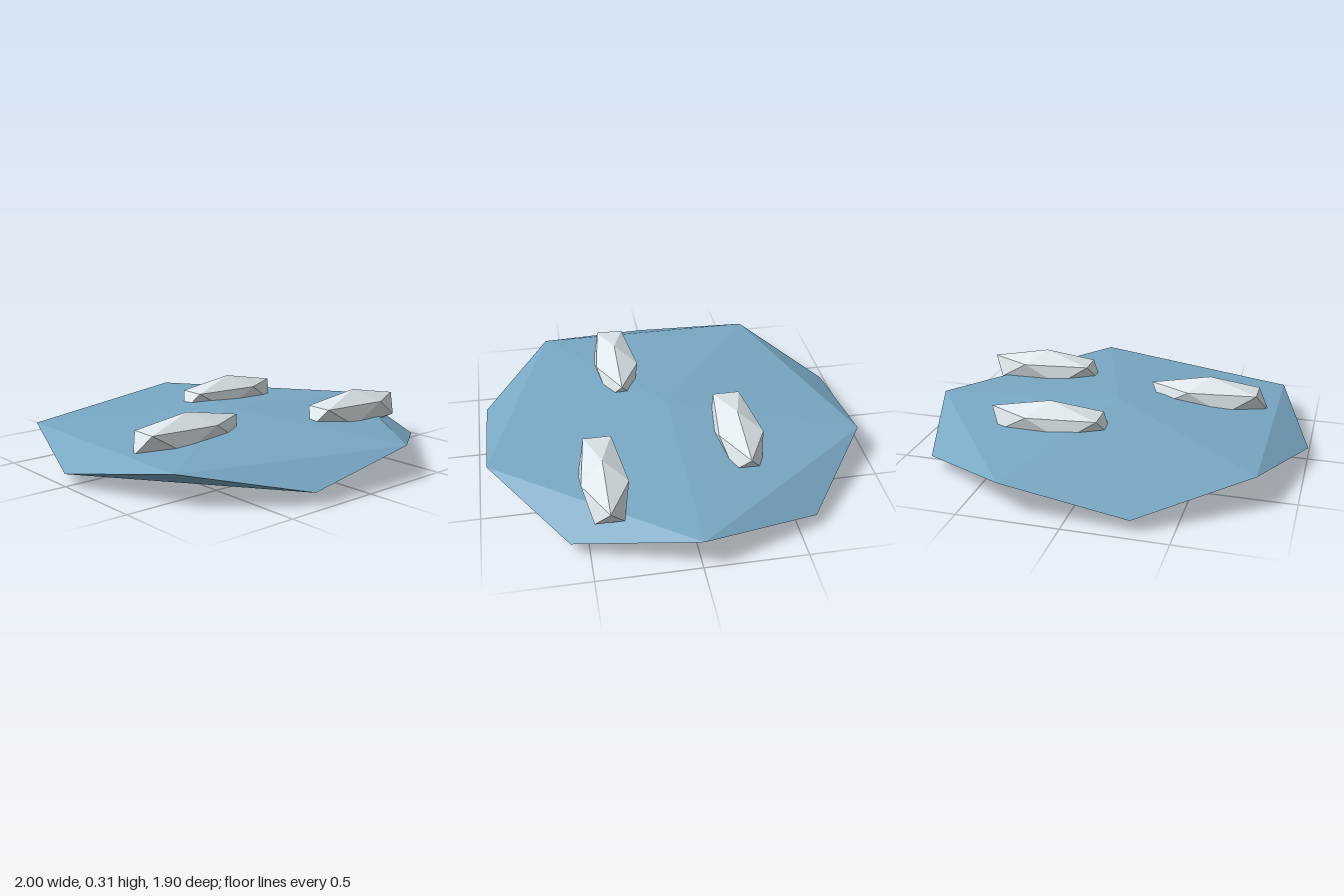
import * as THREE from 'three';

const PHI = (1 + Math.sqrt(5)) / 2;
const RING = 2 / Math.sqrt(5); // ring radius of a unit icosahedron standing on a corner

// Squashed icosahedron with a corner straight up and an upper ring corner on +x
function facetedBlob(ringX, halfHeight, ringZ) {
  const geometry = new THREE.IcosahedronGeometry(1, 0);
  geometry.rotateZ(-Math.atan(1 / PHI));
  geometry.scale(ringX / RING, halfHeight, ringZ / RING);
  geometry.computeVertexNormals();
  return geometry;
}

export function createModel() {
  const group = new THREE.Group();
  const baseMaterial = new THREE.MeshStandardMaterial({ color: 0x78a8c4, flatShading: true });
  const stoneMaterial = new THREE.MeshStandardMaterial({ color: 0xdde6ea, flatShading: true });

  // Wide flat base
  const base = new THREE.Mesh(facetedBlob(1, 0.112, 1), baseMaterial);
  base.name = 'base';
  base.position.y = 0.112;
  group.add(base);

  // Three long stones half sunk into the base
  const stoneGeometry = facetedBlob(0.318, 0.112, 0.119);
  const spots = [[-0.448, 0.22], [0.268, -0.315], [0.534, 0.4]];
  spots.forEach(([x, z], i) => {
    const stone = new THREE.Mesh(stoneGeometry, stoneMaterial);
    stone.name = `stone${i + 1}`;
    stone.position.set(x, 0.201, z);
    group.add(stone);
  });

  return group;
}
